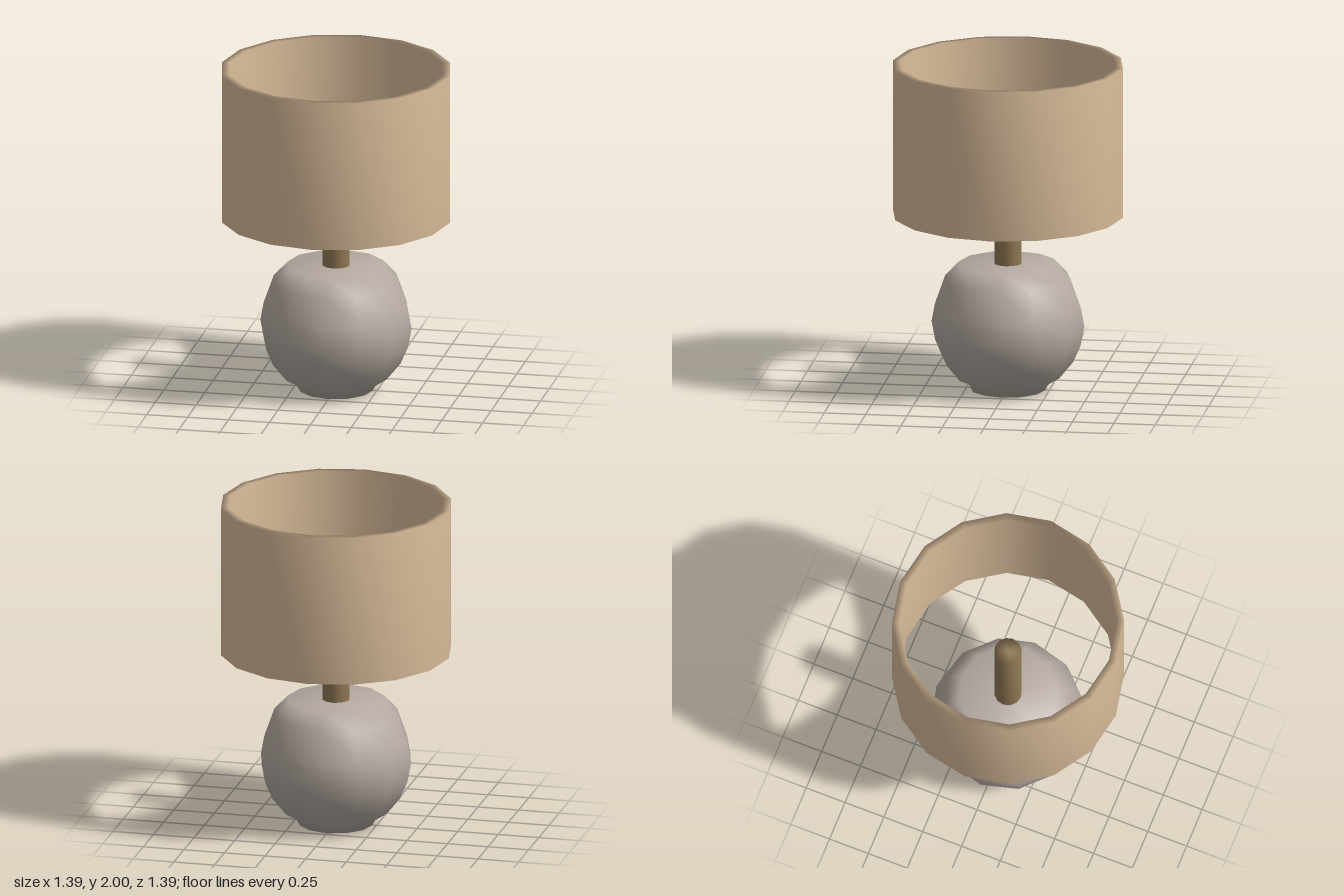
import * as THREE from 'three';
import { mergeVertices } from 'three/addons/utils/BufferGeometryUtils.js';

// Turned part with normals smoothed over the whole surface
function turned(name, profile, sides, material) {
  const lathe = new THREE.LatheGeometry(profile.map(([r, y]) => new THREE.Vector2(r, y)), sides);
  lathe.deleteAttribute('normal');
  lathe.deleteAttribute('uv');
  const geometry = mergeVertices(lathe, 1e-4);
  geometry.computeVertexNormals();
  const mesh = new THREE.Mesh(geometry, material);
  mesh.name = name;
  return mesh;
}

function material(name, color) {
  const m = new THREE.MeshStandardMaterial({ color });
  m.name = name;
  return m;
}

export function createModel() {
  const fabric = material('tan fabric', 0xd9bc9a);
  const brass = material('dull brass', 0x927a56);
  const ceramic = material('warm grey ceramic', 0xb5aaa2);

  const lamp = new THREE.Group();
  lamp.name = 'tableLamp';

  // Round base with a small foot and a flat top
  lamp.add(turned('base', [
    [0, 0], [0.225, 0], [0.25, 0.05], [0.31, 0.075], [0.395, 0.18], [0.44, 0.285],
    [0.462, 0.4], [0.442, 0.51], [0.38, 0.685], [0.295, 0.775], [0, 0.775],
  ], 12, ceramic));

  // Stem rising into the shade
  lamp.add(turned('stem', [[0, 0.72], [0.083, 0.72], [0.083, 1.5], [0, 1.5]], 12, brass));

  // Open drum shade with a thin wall
  lamp.add(turned('shade', [
    [0.695, 1.08], [0.695, 2], [0.65, 2], [0.65, 1.08], [0.695, 1.08],
  ], 16, fabric));

  return lamp;
}
